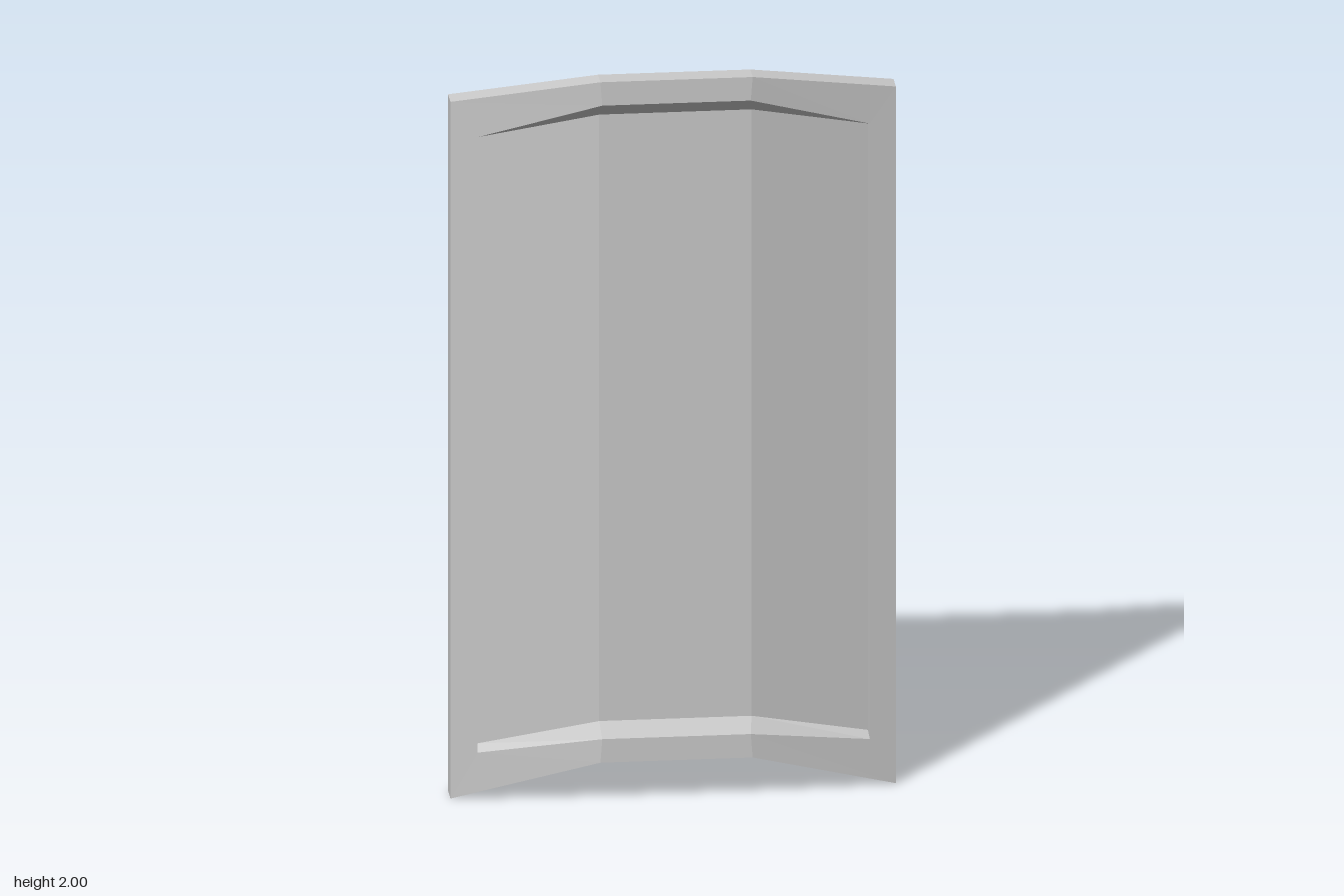
import * as THREE from 'three';

const material = new THREE.MeshStandardMaterial({ color: 0xcccccc, flatShading: true });

// One vertical cross-section of the plate: a loop of eight corners, from the
// back bottom up over the top edge and down through the recessed front.
function section(side, end) {
  const p = end
    ? [[.585, 0, -.075], [.585, 1.93, -.075], [.585, 1.93, -.015], [.515, 1.835, 0],
       [.513, 1.825, -.03], [.513, .145, -.03], [.515, .13, 0], [.585, 0, -.015]]
    : [[.2, .115, .01], [.2, 2, .01], [.2, 2, .07], [.195, 1.935, .07],
       [.2, 1.9, .04], [.2, .22, .04], [.195, .18, .07], [.2, .115, .07]];
  return p.map(([x, y, z]) => [side * x, y, z]);
}

function createPlate() {
  const cols = [section(-1, true), section(-1, false), section(1, false), section(1, true)];
  const pos = [];
  const quad = (a, b, c, d) => pos.push(...a, ...b, ...c, ...a, ...c, ...d);

  // Skin between neighbouring sections
  for (let i = 0; i < 3; i++) {
    for (let k = 0; k < 8; k++) {
      const n = (k + 1) % 8;
      quad(cols[i][k], cols[i][n], cols[i + 1][n], cols[i + 1][k]);
    }
  }
  // Side edge, frame upright and recess wall at both ends
  for (const [a, b, c, d] of [[0, 1, 2, 7], [2, 3, 6, 7], [3, 4, 5, 6]]) {
    const r = cols[3], l = cols[0];
    quad(r[a], r[b], r[c], r[d]);
    quad(l[d], l[c], l[b], l[a]);
  }

  const geo = new THREE.BufferGeometry();
  geo.setAttribute('position', new THREE.Float32BufferAttribute(pos, 3));
  geo.computeVertexNormals();
  const mesh = new THREE.Mesh(geo, material);
  mesh.name = 'shieldPlate';
  return mesh;
}

// Bent strap: flat grip with two legs sloping into the back of the plate
function createHandle(side) {
  const width = 0.107;
  const shape = new THREE.Shape([
    [-.02, -.149], [.075, -.09], [.075, .09], [-.02, .149],
    [-.02, .134], [.062, .083], [.062, -.083], [-.02, -.134],
  ].map(([x, y]) => new THREE.Vector2(x, y)));
  const geo = new THREE.ExtrudeGeometry(shape, { depth: width, bevelEnabled: false });
  geo.translate(0, 0, -width / 2);
  geo.rotateY(Math.PI / 2); // profile depth now points to -z
  const mesh = new THREE.Mesh(geo, material);
  mesh.position.set(side * 0.19, 1.1, 0);
  mesh.name = side > 0 ? 'leftHandle' : 'rightHandle';
  return mesh;
}

export function createModel() {
  const group = new THREE.Group();
  group.name = 'shield';
  group.add(createPlate(), createHandle(1), createHandle(-1));
  return group;
}
